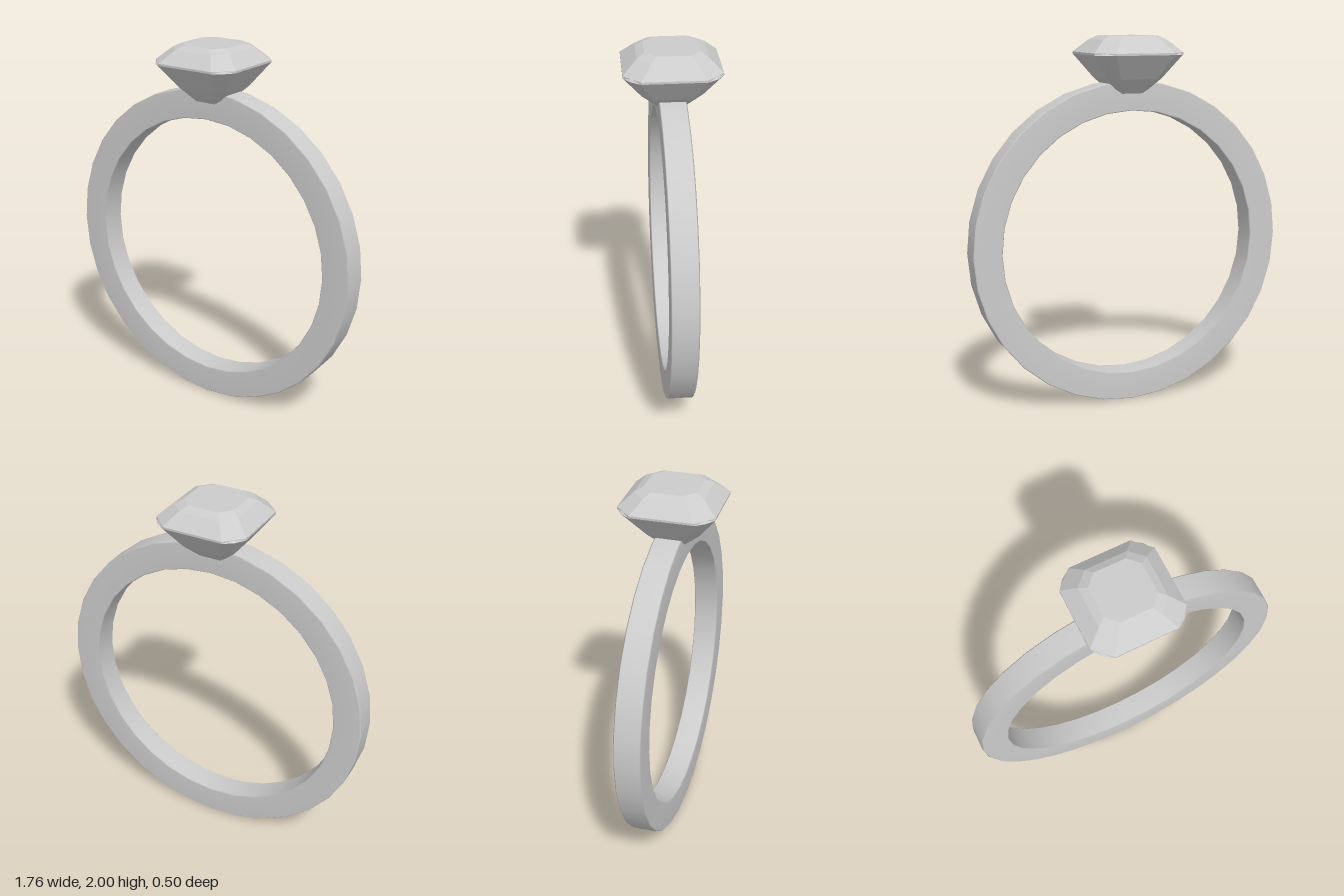
import * as THREE from 'three';

const material = (options = {}) => new THREE.MeshStandardMaterial({ color: 0xcccccc, ...options });

// Plain band: a softly bevelled rectangular section turned about the z axis
function createBand() {
  const outer = 0.882, inner = 0.727, half = 0.07, bevel = 0.006;
  const profile = [
    [outer, -half + bevel], [outer, half - bevel],
    [outer - bevel, half], [inner + bevel, half],
    [inner, half - bevel], [inner, -half + bevel],
    [inner + bevel, -half], [outer - bevel, -half],
    [outer, -half + bevel],
  ].map(([r, y]) => new THREE.Vector2(r, y));
  const band = new THREE.Mesh(new THREE.LatheGeometry(profile, 32), material());
  band.name = 'band';
  band.rotation.x = Math.PI / 2;
  band.position.y = outer;
  return band;
}

// One level of the gem: a square with cut corners and a middle point on each cut
function gemRing({ y, half, cut, corner = (half + cut) / 2 }) {
  const points = [];
  for (let q = 0; q < 4; q++) {
    for (let [x, z] of [[half, cut], [corner, corner], [cut, half]]) {
      for (let i = 0; i < q; i++) [x, z] = [-z, x];
      points.push([x, y, z]);
    }
  }
  return points;
}

// Step-cut gem: levels from culet to table, joined with flat facets
function createGem() {
  const rings = [
    { y: 1.685, half: 0.055, cut: 0.05 },                  // culet
    { y: 1.777, half: 0.155, cut: 0.1 },                   // lower pavilion
    { y: 1.903, half: 0.25, cut: 0.163, corner: 0.214 },   // girdle, lower edge
    { y: 1.914, half: 0.25, cut: 0.163 },                  // girdle, upper edge
    { y: 1.98, half: 0.178, cut: 0.11 },                   // crown step
    { y: 2.0, half: 0.138, cut: 0.082 },                   // table
  ].map(gemRing);
  const positions = [];
  const triangle = (...corners) => corners.forEach((p) => positions.push(...p));

  for (let k = 0; k < rings.length - 1; k++) {
    const low = rings[k], high = rings[k + 1];
    for (let j = 0; j < 12; j++) {
      const n = (j + 1) % 12;
      // The diagonal always meets the upper corner point, making kite facets
      if (j % 3 === 0) {
        triangle(low[j], high[j], high[n]);
        triangle(low[j], high[n], low[n]);
      } else {
        triangle(low[j], high[j], low[n]);
        triangle(high[j], high[n], low[n]);
      }
    }
  }

  // Culet and table caps
  const culet = rings[0], table = rings[rings.length - 1];
  for (let j = 0; j < 12; j++) {
    const n = (j + 1) % 12;
    triangle([0, culet[0][1], 0], culet[j], culet[n]);
    triangle([0, table[0][1], 0], table[n], table[j]);
  }

  const geometry = new THREE.BufferGeometry();
  geometry.setAttribute('position', new THREE.Float32BufferAttribute(positions, 3));
  geometry.computeVertexNormals();
  const gem = new THREE.Mesh(geometry, material({ flatShading: true }));
  gem.name = 'gem';
  return gem;
}

export function createModel() {
  const ring = new THREE.Group();
  ring.name = 'ring';
  ring.add(createBand(), createGem());
  return ring;
}
